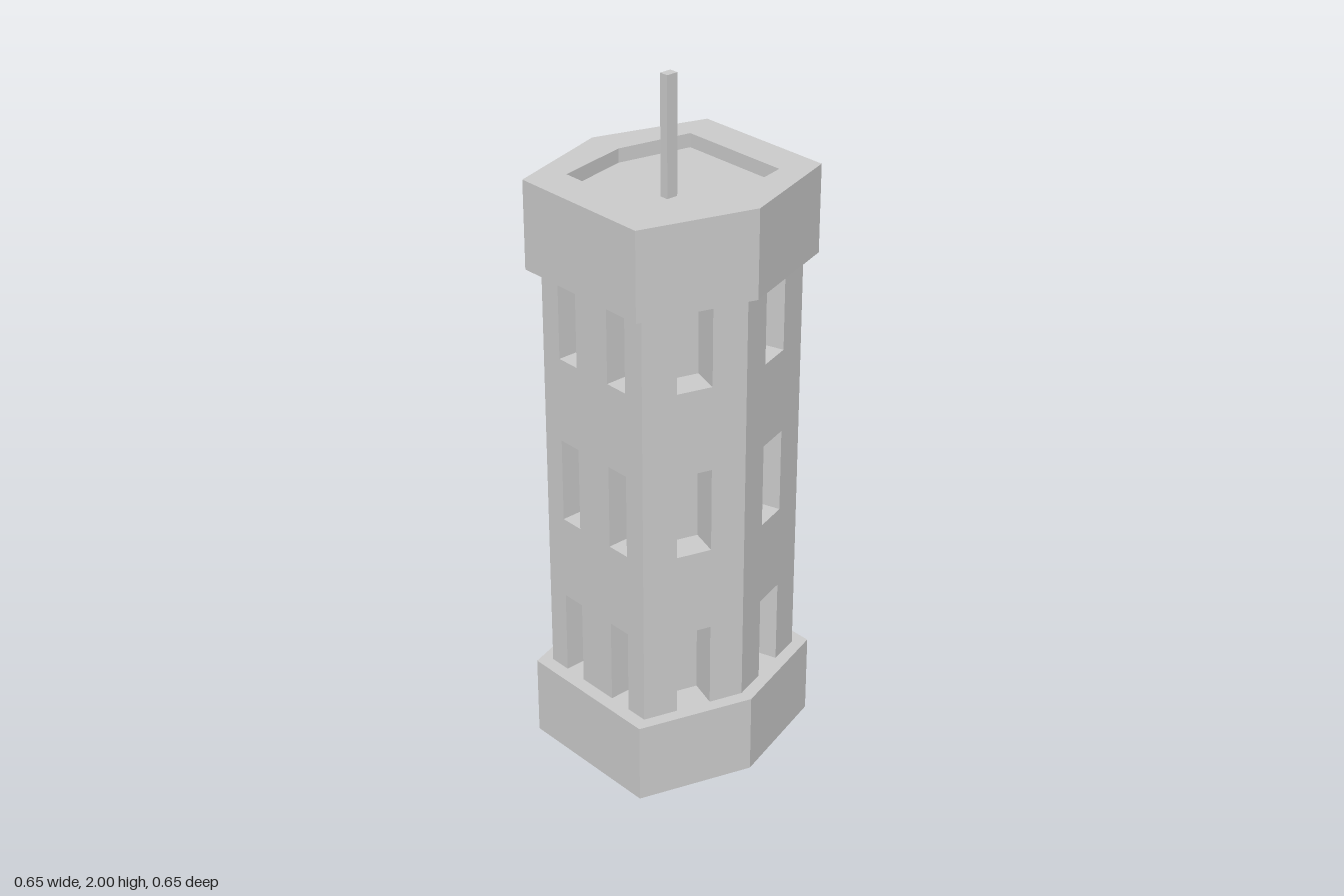
import * as THREE from 'three';

const material = new THREE.MeshStandardMaterial({ color: 0xcccccc, flatShading: true });

// Elongated hexagon: points at +-tip on x, flat sides at +-side on z
const hexPoints = (tip, half, side) => [
  [half, side], [tip, 0], [half, -side], [-half, -side], [-tip, 0], [-half, side],
].map(([x, z]) => new THREE.Vector2(x, -z));

function mesh(name, geometry, parent) {
  const m = new THREE.Mesh(geometry, material);
  m.name = name;
  parent.add(m);
  return m;
}

// Upright hexagonal prism, optionally with a hexagonal opening
function prism(name, outer, y0, y1, parent, inner) {
  const shape = new THREE.Shape(outer);
  if (inner) shape.holes.push(new THREE.Path(inner));
  const g = new THREE.ExtrudeGeometry(shape, { depth: y1 - y0, bevelEnabled: false });
  g.rotateX(-Math.PI / 2).translate(0, y0, 0);
  return mesh(name, g, parent);
}

// Back, sides, floor and ceiling of a window recess, open towards +z
function recess(x, y, w, h, d, parent) {
  const group = new THREE.Group();
  group.name = 'windowRecess';
  group.position.set(x, y, 0);
  parent.add(group);
  mesh('windowBack', new THREE.PlaneGeometry(w, h).translate(0, 0, -d), group);
  for (const s of [-1, 1]) {
    mesh('windowSide', new THREE.PlaneGeometry(d, h)
      .rotateY(-s * Math.PI / 2).translate(s * w / 2, 0, -d / 2), group);
    mesh(s < 0 ? 'windowFloor' : 'windowCeiling', new THREE.PlaneGeometry(w, d)
      .rotateX(s * Math.PI / 2).translate(0, s * h / 2, -d / 2), group);
  }
}

export function createModel() {
  const tower = new THREE.Group();
  tower.name = 'tower';

  // Plinth
  prism('base', hexPoints(0.323, 0.22, 0.323), 0, 0.236, tower);

  // Shaft walls, each pierced by three rows of windows
  const corners = hexPoints(0.284, 0.196, 0.284).map(p => new THREE.Vector3(p.x, 0, -p.y));
  const y0 = 0.2, y1 = 1.5;
  const rows = [[0.234, 0.484], [0.73, 0.975], [1.22, 1.462]];
  corners.forEach((a, i) => {
    const b = corners[(i + 1) % 6];
    const width = a.distanceTo(b);
    const flat = Math.abs(a.z - b.z) < 1e-6;
    const w = flat ? 0.07 : 0.1;
    const depth = !flat ? 0.085 : a.z > 0 ? 0.09 : 0.055;
    const wall = new THREE.Group();
    wall.name = 'shaftWall';
    wall.position.copy(a).add(b).multiplyScalar(0.5);
    wall.rotation.y = Math.atan2(-(b.z - a.z), b.x - a.x);
    tower.add(wall);

    const shape = new THREE.Shape([[-1, y0], [1, y0], [1, y1], [-1, y1]]
      .map(([s, y]) => new THREE.Vector2(s * width / 2, y)));
    for (const x of flat ? [-0.096, 0.096] : [0]) {
      for (const [lo, hi] of rows) {
        shape.holes.push(new THREE.Path([[-1, lo], [-1, hi], [1, hi], [1, lo]]
          .map(([s, y]) => new THREE.Vector2(x + s * w / 2, y))));
        recess(x, (lo + hi) / 2, w, hi - lo, depth, wall);
      }
    }
    mesh('wallFace', new THREE.ShapeGeometry(shape), wall);
  });

  // Overhanging crown with a shallow sunken roof
  const crown = hexPoints(0.32, 0.217, 0.32);
  prism('crown', crown, 1.46, 1.67, tower);
  prism('parapet', crown, 1.67, 1.71, tower, hexPoints(0.214, 0.169, 0.214));

  // Off-centre mast
  mesh('mast', new THREE.BoxGeometry(0.026, 0.34, 0.034), tower).position.set(0.041, 1.83, 0.052);

  return tower;
}
